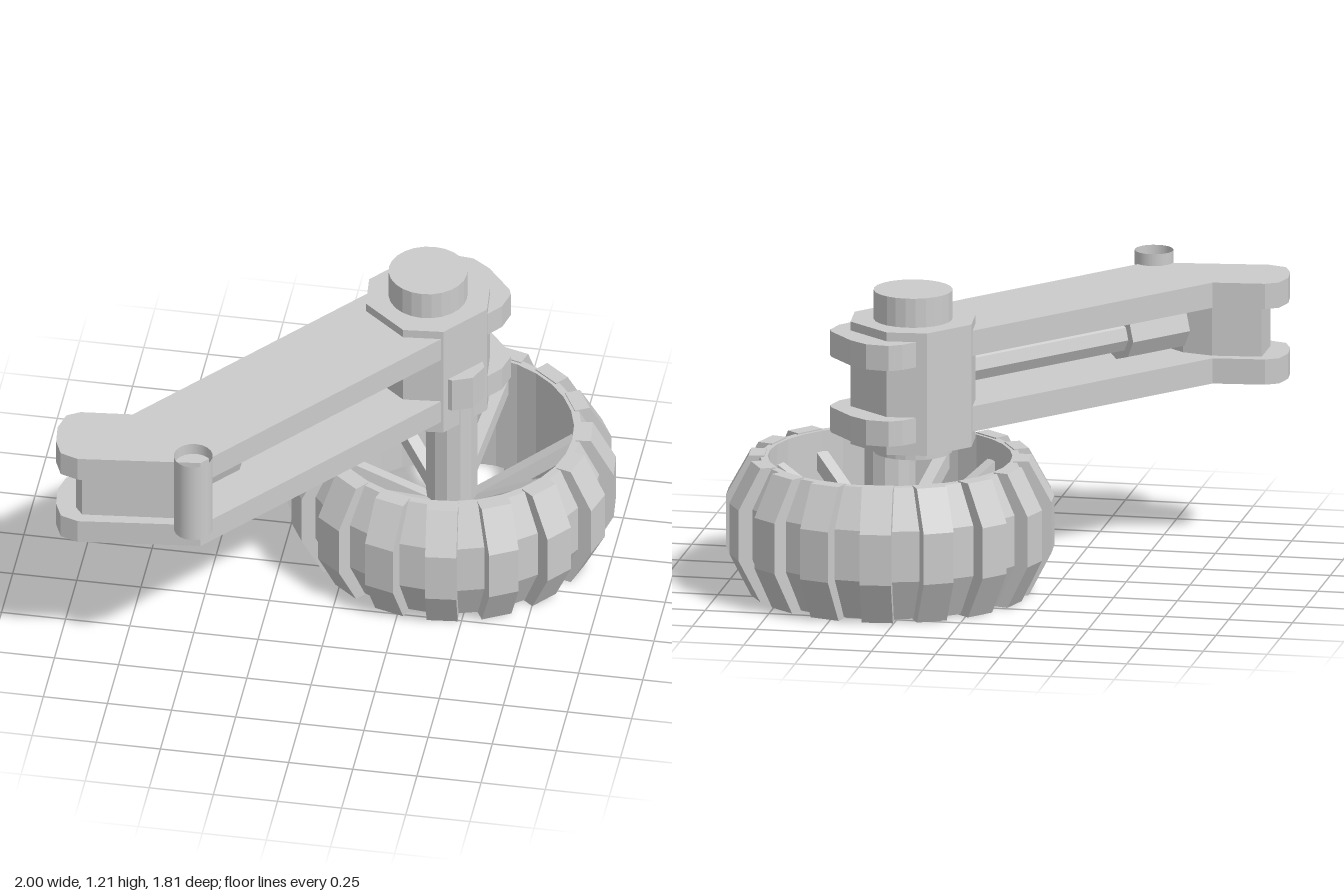
import * as THREE from 'three';

const mat = new THREE.MeshStandardMaterial({ color: 0xcccccc, flatShading: true });
const openMat = new THREE.MeshStandardMaterial({ color: 0xcccccc, side: THREE.DoubleSide });
const AXLE = [0.37, -0.275];   // wheel axis (x, z)
const PIVOT = [0.265, -0.35];  // swivel barrel axis (x, z)
const ARM_ANGLE = Math.atan2(1.17, 0.97);

function add(parent, name, geometry, material = mat) {
  const mesh = new THREE.Mesh(geometry, material);
  mesh.name = name;
  parent.add(mesh);
  return mesh;
}

// Upright slab from an outline of (x, z) points
function slab(outline, y0, y1) {
  const shape = new THREE.Shape(outline.map(([x, z]) => new THREE.Vector2(x, -z)));
  return new THREE.ExtrudeGeometry(shape, { depth: y1 - y0, bevelEnabled: false })
    .rotateX(-Math.PI / 2).translate(0, y0, 0);
}

function post([x, z], radius, y0, y1, sides) {
  return new THREE.CylinderGeometry(radius, radius, y1 - y0, sides).translate(x, (y0 + y1) / 2, z);
}

// Bar of round section between two points
function rod(from, to, radius, sides) {
  const a = new THREE.Vector3(...from), d = new THREE.Vector3(...to).sub(a);
  const turn = new THREE.Quaternion().setFromUnitVectors(new THREE.Vector3(0, 1, 0), d.clone().normalize());
  return new THREE.CylinderGeometry(radius, radius, d.length(), sides)
    .applyQuaternion(turn).translate(a.x + d.x / 2, a.y + d.y / 2, a.z + d.z / 2);
}

const lathe = (pts, sides) => new THREE.LatheGeometry(pts.map(p => new THREE.Vector2(...p)), sides);

function createWheel() {
  const wheel = new THREE.Group();
  wheel.name = 'wheel';
  wheel.position.set(AXLE[0], 0, AXLE[1]);

  // Hollow tyre
  add(wheel, 'tyre', lathe([[0.47, 0.005], [0.5, 0.005], [0.575, 0.17], [0.575, 0.37],
    [0.5, 0.525], [0.47, 0.525], [0.47, 0.005]], 32));

  // Raised tread blocks around the tyre
  const profile = new THREE.Shape([[0.48, 0], [0.54, 0], [0.628, 0.17], [0.628, 0.37], [0.54, 0.53], [0.48, 0.53]]
    .map(p => new THREE.Vector2(...p)));
  const block = new THREE.ExtrudeGeometry(profile, { depth: 0.12, bevelEnabled: false }).translate(0, 0, -0.06);
  for (let i = 0; i < 16; i++) {
    add(wheel, 'treadBlock', block).rotation.y = THREE.MathUtils.degToRad(6 + i * 22.5);
  }

  // Spokes in three groups of three, rising from the hub to the tyre
  const spokeSide = new THREE.Shape([[0.07, 0.13], [0.48, 0.38], [0.48, 0.45], [0.07, 0.2]]
    .map(p => new THREE.Vector2(...p)));
  const spoke = new THREE.ExtrudeGeometry(spokeSide, { depth: 0.05, bevelEnabled: false }).translate(0, 0, -0.025);
  for (const centre of [-15, 105, 225]) {
    for (const offset of [-30, 0, 30]) {
      add(wheel, 'spoke', spoke).rotation.y = THREE.MathUtils.degToRad(centre + offset);
    }
  }

  // Axle with a bored lower end
  add(wheel, 'axle', lathe([[0, 0.12], [0.05, 0.12], [0.05, 0.04], [0.1, 0.04], [0.1, 0.73], [0, 0.73]], 12));
  return wheel;
}

export function createModel() {
  const model = new THREE.Group();
  model.name = 'wheelLeg';
  model.add(createWheel());
  add(model, 'axleCap', post([0.395, -0.245], 0.108, 0.71, 0.855, 8));

  // Twin arm plates with a bent foot
  const plate = [[-0.73, 0.55], [-0.93, 0.57], [-0.98, 0.6], [-1, 0.68], [-0.99, 0.77], [-0.96, 0.84],
    [-0.89, 0.865], [-0.42, 0.81], [0.36, -0.13], [0.55, -0.37], [0.57, -0.45], [0.56, -0.48],
    [0.46, -0.6], [0.39, -0.65], [0.3, -0.66], [0.25, -0.63]];
  add(model, 'lowerArmPlate', slab(plate, 0.66, 0.76));
  add(model, 'upperArmPlate', slab(plate, 0.96, 1.06));

  // Spacer between the plates at the foot
  add(model, 'footSpacer', slab([[-0.91, 0.61], [-0.72, 0.59], [-0.6, 0.62], [-0.46, 0.74],
    [-0.5, 0.78], [-0.88, 0.82], [-0.91, 0.78]], 0.76, 0.96));

  // Swivel barrel, a chamfered square turned along the arm, with round end caps
  const c = Math.cos(ARM_ANGLE), s = Math.sin(ARM_ANGLE);
  const barrel = [[0.22, 0.11], [0.11, 0.22], [-0.11, 0.22], [-0.22, 0.11],
    [-0.22, -0.11], [-0.11, -0.22], [0.11, -0.22], [0.22, -0.11]]
    .map(([u, v]) => [PIVOT[0] + u * c - v * s, PIVOT[1] - u * s - v * c]);
  add(model, 'swivelBarrel', slab(barrel, 0.61, 1.095));
  add(model, 'swivelTopCap', post(PIVOT, 0.152, 1.09, 1.21, 24));
  add(model, 'swivelBottomCap', post(PIVOT, 0.152, 0.57, 0.62, 24));

  // Damper: thick sleeve and thinner rod running along the arm
  add(model, 'damperSleeve', rod([-0.56, 0.86, 0.655], [-0.38, 0.86, 0.44], 0.095, 8));
  add(model, 'damperRod', rod([-0.4, 0.86, 0.464], [0.17, 0.86, -0.22], 0.065, 8));

  // Open hinge tube at the foot
  const tube = new THREE.CylinderGeometry(0.075, 0.075, 0.35, 20, 1, true).translate(-0.445, 0.932, 0.83);
  add(model, 'hingeTube', tube, openMat);
  add(model, 'hingeTubeFloor', new THREE.CircleGeometry(0.075, 20).rotateX(-Math.PI / 2)
    .translate(-0.445, 0.757, 0.83), openMat);
  return model;
}
